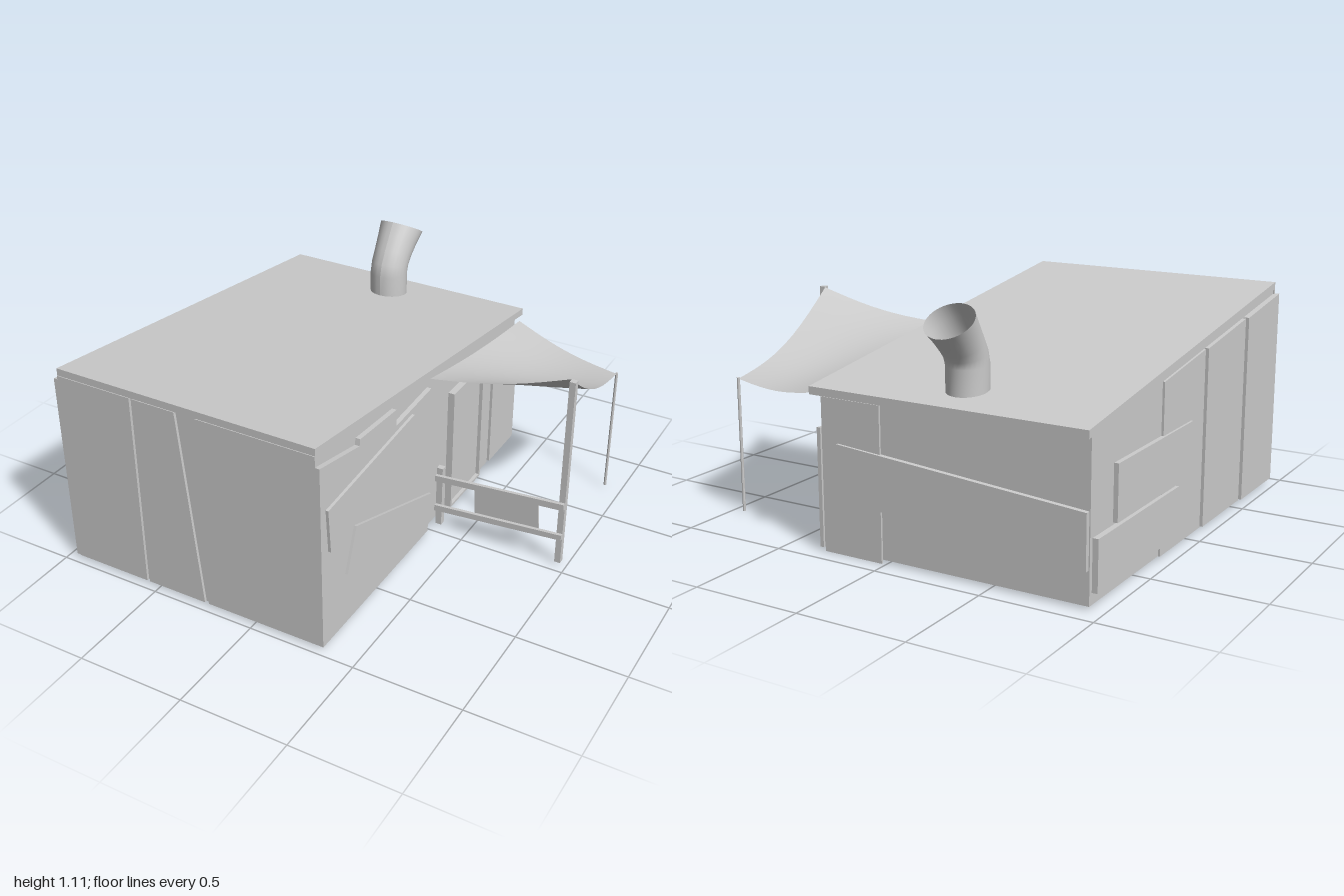
import * as THREE from 'three';

const mat = new THREE.MeshStandardMaterial({ color: 0xcccccc, flatShading: true });
const smooth = new THREE.MeshStandardMaterial({ color: 0xcccccc, side: THREE.DoubleSide });

// Height of the sloping roof's underside at a given z
const under = (z) => 0.826 + 0.134 * z;

// Which way each wall faces: turn about y, and sign from world axis to outline axis
const FACING = {
  front: [0, 1],
  back: [Math.PI, -1],
  right: [Math.PI / 2, -1],
  left: [-Math.PI / 2, 1],
};

export function createModel() {
  const group = new THREE.Group();
  const add = (name, geometry, material = mat) => {
    const mesh = new THREE.Mesh(geometry, material);
    mesh.name = name;
    group.add(mesh);
    return mesh;
  };

  // Flat board on one wall: outline in (x or z, y), from distance d0 to d1 from the centre
  const board = (name, side, pts, d0, d1) => {
    const [turn, sign] = FACING[side];
    const shape = new THREE.Shape(pts.map(([h, y]) => new THREE.Vector2(sign * h, y)));
    const g = new THREE.ExtrudeGeometry(shape, { depth: d1 - d0, bevelEnabled: false });
    g.translate(0, 0, d0);
    g.rotateY(turn);
    return add(name, g);
  };
  const rect = (a, b, y0, y1) => [[a, y0], [b, y0], [b, y1], [a, y1]];
  const box = (name, x0, x1, y0, y1, z0, z1) => {
    const g = new THREE.BoxGeometry(x1 - x0, y1 - y0, z1 - z0);
    g.translate((x0 + x1) / 2, (y0 + y1) / 2, (z0 + z1) / 2);
    return add(name, g);
  };

  // Hollow shell, open underneath
  const sideWall = [[-0.91, 0.02], [0.95, 0.02], [0.95, under(0.95)], [-0.91, under(-0.91)]];
  board('rightWall', 'right', sideWall, 0.305, 0.32);
  board('leftWall', 'left', sideWall, 0.92, 0.935);
  board('frontWall', 'front', rect(-0.935, 0.32, 0.02, 0.952), 0.94, 0.955);
  board('backWall', 'back', rect(-0.935, 0.32, 0.02, 0.704), 0.895, 0.91);

  // Front cladding
  board('frontPanel', 'front', rect(-0.94, -0.565, 0.02, 0.955), 0.955, 0.968);
  board('frontPanel', 'front', [[-0.55, 0.02], [-0.255, 0.02], [-0.34, 0.955], [-0.55, 0.955]], 0.955, 0.968);
  board('frontPanel', 'front', rect(-0.235, 0.322, 0.02, 0.955), 0.955, 0.968);

  // Right side cladding and patch boards
  board('rightPanel', 'right', [[0.968, 0.02], [0.968, 0.905], [0.66, 0.838], [0.655, 0.868],
    [0.35, 0.845], [0.35, 0.765], [0.03, 0.785], [0.03, 0.02]], 0.32, 0.342);
  board('rightPatch', 'right', [[0.93, 0.69], [0.21, 0.75], [0.19, 0.545], [0.915, 0.48]], 0.342, 0.355);
  board('rightPatch', 'right', [[0.71, 0.48], [0.03, 0.235], [0.1, 0.04], [0.785, 0.28]], 0.342, 0.355);
  board('rearSidePanel', 'right', [[-0.51, 0.02], [-0.63, 0.02], [-0.63, 0.61], [-0.51, 0.64]], 0.32, 0.332);
  board('rearSidePanel', 'right', [[-0.645, 0.02], [-0.92, 0.02], [-0.92, 0.545], [-0.645, 0.52]], 0.32, 0.338);

  // Door with frame
  board('door', 'right', rect(-0.495, -0.205, 0.03, 0.63), 0.32, 0.335);
  box('doorJamb', 0.32, 0.352, 0.02, 0.645, -0.2, -0.187);
  box('doorJamb', 0.32, 0.352, 0.02, 0.645, -0.508, -0.495);
  box('doorLintel', 0.32, 0.352, 0.63, 0.645, -0.495, -0.2);
  box('doorSill', 0.32, 0.352, 0.02, 0.032, -0.495, -0.2);

  // Left side cladding, stepping out towards the front
  [[0.58, 0.965, 0.962], [0.14, 0.565, 0.953], [-0.29, 0.125, 0.945]].forEach(([a, b, d]) =>
    board('leftPanel', 'left', [[a, 0.02], [b, 0.02], [b, under(b) - 0.02], [a, under(a) - 0.02]], 0.935, d));
  board('leftPatch', 'left', rect(-0.72, -0.01, 0.3, 0.54), 0.935, 0.955);
  board('leftPatch', 'left', rect(-0.89, -0.15, 0.07, 0.29), 0.935, 0.96);

  // Back cladding
  board('backPanel', 'back', rect(0.02, 0.31, 0.005, 0.68), 0.91, 0.92);
  board('backPatch', 'back', [[0.23, 0.49], [0.23, 0.25], [-0.93, 0.165], [-0.93, 0.4]], 0.91, 0.932);

  // Sloping roof slab with a hole for the chimney
  const plan = new THREE.Shape([[-0.94, -0.965], [0.322, -0.965], [0.335, 0.967], [-0.953, 0.967]]
    .map(([x, y]) => new THREE.Vector2(x, y)));
  plan.holes.push(new THREE.Path().absarc(-0.31, 0.77, 0.085, 0, Math.PI * 2, true));
  const roof = new THREE.ExtrudeGeometry(plan, { depth: 0.034, bevelEnabled: false, curveSegments: 20 });
  roof.rotateX(-Math.PI / 2);
  const rp = roof.attributes.position;
  for (let i = 0; i < rp.count; i++) rp.setY(i, rp.getY(i) + under(rp.getZ(i)));
  roof.computeVertexNormals();
  add('roof', roof);

  // Bent, slightly flared chimney: rings of [z, y, radius, backward tilt]
  const rings = [[-0.77, 0.735, 0.09, 0], [-0.77, 0.86, 0.09, 0.06], [-0.783, 0.905, 0.09, 0.25],
    [-0.812, 0.95, 0.091, 0.48], [-0.855, 1.005, 0.097, 0.55], [-0.9, 1.055, 0.106, 0.55]];
  const sides = 28;
  const chimney = new THREE.CylinderGeometry(1, 1, 1, sides, rings.length - 1, true);
  const cp = chimney.attributes.position;
  for (let i = 0; i < cp.count; i++) {
    const [z, y, r, t] = rings[rings.length - 1 - Math.floor(i / (sides + 1))];
    const cx = cp.getX(i) * r, cz = cp.getZ(i) * r;
    cp.setXYZ(i, -0.31 + cx, y + cz * Math.sin(t), z + cz * Math.cos(t));
  }
  chimney.computeVertexNormals();
  add('chimney', chimney, smooth);

  // Sagging cloth awning stretched between four corners
  const wallFront = new THREE.Vector3(0.33, 0.825, 0.02), poleFront = new THREE.Vector3(0.94, 0.95, -0.07);
  const wallBack = new THREE.Vector3(0.345, 0.69, -0.91), poleBack = new THREE.Vector3(0.92, 0.64, -0.735);
  const awning = new THREE.PlaneGeometry(1, 1, 10, 10);
  const ap = awning.attributes.position;
  for (let i = 0; i < ap.count; i++) {
    const u = ap.getX(i) + 0.5, v = ap.getY(i) + 0.5;
    const p = wallFront.clone().lerp(poleFront, u)
      .lerp(wallBack.clone().lerp(poleBack, u), v);
    const su = Math.sin(Math.PI * u), sv = Math.sin(Math.PI * v);
    p.y -= 0.025 * su + (0.015 + 0.05 * u) * sv + 0.02 * su * sv;
    ap.setXYZ(i, p.x, p.y, p.z);
  }
  awning.computeVertexNormals();
  add('awning', awning, smooth);

  // Awning poles
  box('tallPole', 0.945, 0.973, 0.02, 0.953, -0.07, -0.042);
  const thin = new THREE.CylinderGeometry(0.007, 0.007, 0.625, 8);
  thin.translate(0.92, 0.3325, -0.735);
  add('thinPole', thin);

  // Low fence: short post, two sloping rails and a board between them
  box('fencePost', 0.345, 0.375, 0.02, 0.33, -0.07, -0.042);
  board('fenceRail', 'front', [[0.345, 0.265], [0.973, 0.315], [0.973, 0.347], [0.345, 0.295]], -0.042, -0.026);
  board('fenceRail', 'front', [[0.345, 0.102], [0.973, 0.155], [0.973, 0.182], [0.345, 0.132]], -0.042, -0.026);
  board('fenceBoard', 'front', [[0.545, 0.12], [0.86, 0.147], [0.845, 0.325], [0.535, 0.3]], -0.052, -0.042);

  return group;
}
